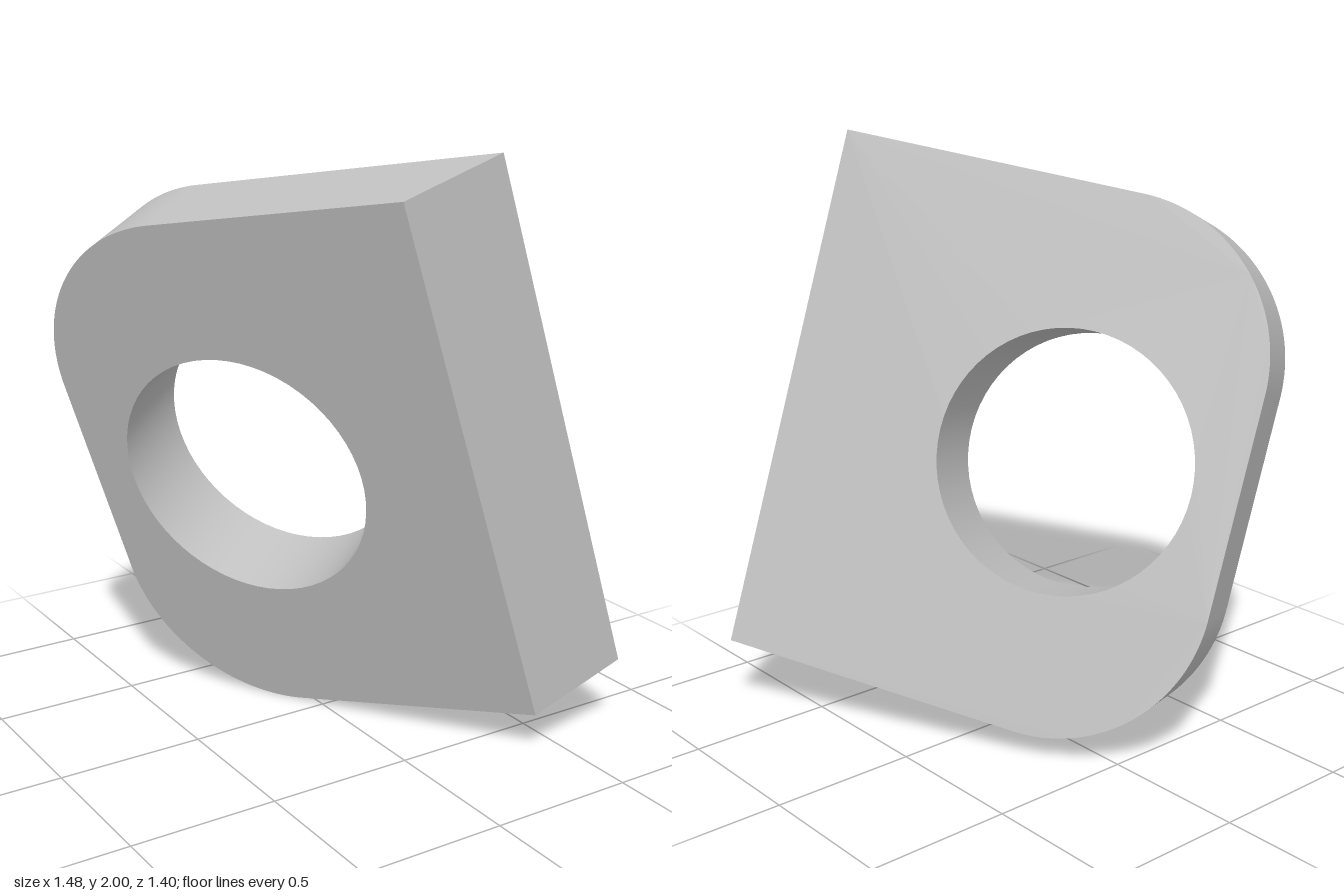
import * as THREE from 'three';
import { toCreasedNormals } from 'three/addons/utils/BufferGeometryUtils.js';

export function createModel() {
  const group = new THREE.Group();
  const grey = new THREE.MeshStandardMaterial({ color: 0xc0c0c0 });
  grey.name = 'plain grey';

  const length = 1.617, half = 0.913, thickness = 0.323, radius = 0.543;

  // Plate outline: square at the mounting end, rounded at the far end
  const outline = new THREE.Shape();
  outline.moveTo(0, -half);
  outline.lineTo(length - radius, -half);
  outline.absarc(length - radius, -half + radius, radius, -Math.PI / 2, 0, false);
  outline.lineTo(length, half - radius);
  outline.absarc(length - radius, half - radius, radius, 0, Math.PI / 2, false);
  outline.lineTo(0, half);
  outline.closePath();

  // Round through hole
  const hole = new THREE.Path();
  hole.absarc(1.022, 0, 0.443, 0, Math.PI * 2, true);
  outline.holes.push(hole);

  const plate = new THREE.ExtrudeGeometry(outline, {
    depth: thickness, bevelEnabled: false, curveSegments: 32,
  });
  plate.translate(0, 0, -thickness);

  // Mitre the mounting end at 30 degrees
  const pos = plate.attributes.position;
  for (let i = 0; i < pos.count; i++) {
    if (Math.abs(pos.getX(i)) < 1e-5) pos.setX(i, -pos.getZ(i) * Math.tan(Math.PI / 6));
  }

  const mesh = new THREE.Mesh(toCreasedNormals(plate, 0.5), grey);
  mesh.name = 'lugPlate';

  // Tilt the plate so that the mitred end lies flat against the front plane
  const roll = Math.atan2(0.308, 0.952);
  const across = new THREE.Vector3(Math.cos(roll), Math.sin(roll), 0);
  const yAxis = new THREE.Vector3(-Math.sin(roll), Math.cos(roll), 0);
  const xAxis = across.clone().multiplyScalar(-0.5);
  xAxis.z = -Math.cos(Math.PI / 6);
  const zAxis = new THREE.Vector3().crossVectors(xAxis, yAxis);
  mesh.quaternion.setFromRotationMatrix(new THREE.Matrix4().makeBasis(xAxis, yAxis, zAxis));
  mesh.position.set(0.457, 1.131, 0.7);

  group.add(mesh);
  return group;
}
